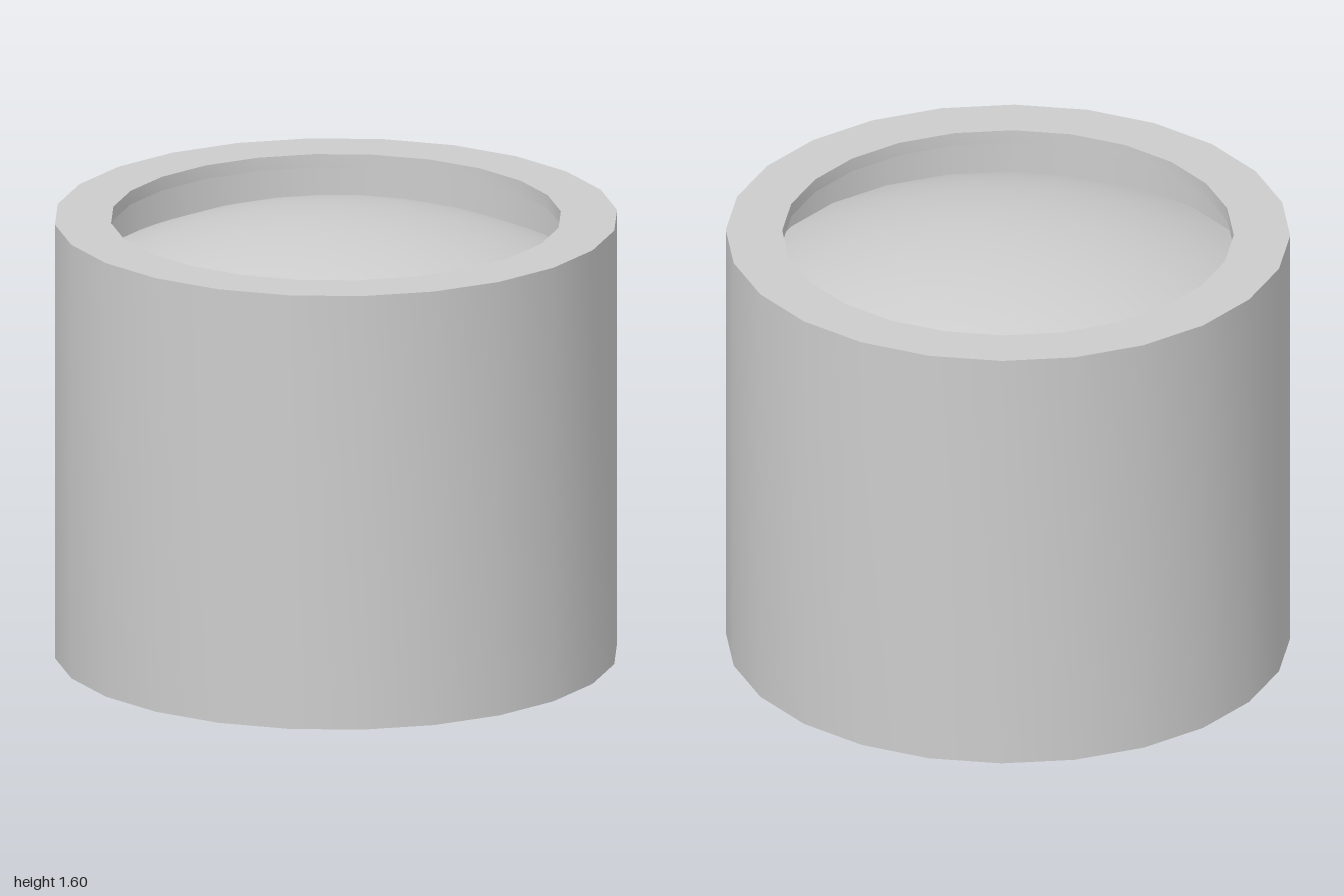
import * as THREE from 'three';
import { toCreasedNormals } from 'three/addons/utils/BufferGeometryUtils.js';

const SIDES = 24;
const HEIGHT = 1.6;

export function createModel() {
  const group = new THREE.Group();
  group.name = 'lensInBarrel';
  const material = new THREE.MeshStandardMaterial({ color: 0xcccccc });

  // Revolve a closed profile, smooth around and sharp at the rims
  const addLathe = (name, profile) => {
    const points = profile.map(([r, y]) => new THREE.Vector2(r, y));
    const geometry = toCreasedNormals(new THREE.LatheGeometry(points, SIDES), 0.6);
    const mesh = new THREE.Mesh(geometry, material);
    mesh.name = name;
    group.add(mesh);
  };

  // Barrel: outer wall, and a bore undercut behind a thin lip at each end
  const outer = 1, lip = 0.8, bore = 0.9, lipHeight = 0.05;
  addLathe('barrel', [
    [outer, 0], [outer, HEIGHT],
    [lip, HEIGHT], [lip, HEIGHT - lipHeight],
    [bore, HEIGHT - lipHeight], [bore, lipHeight],
    [lip, lipHeight], [lip, 0], [outer, 0],
  ]);

  // Biconvex lens: two shallow spherical caps joined by a straight edge
  const curvature = 2, steps = 12;
  const edgeAngle = Math.asin(bore / curvature);
  const cap = [];
  for (let i = 0; i <= steps; i++) {
    const a = (edgeAngle * i) / steps;
    cap.push([curvature * Math.sin(a), curvature * (1 - Math.cos(a))]);
  }
  const topCap = cap.map(([r, y]) => [r, HEIGHT - y]).reverse();
  addLathe('lens', [...cap, ...topCap]);

  return group;
}
